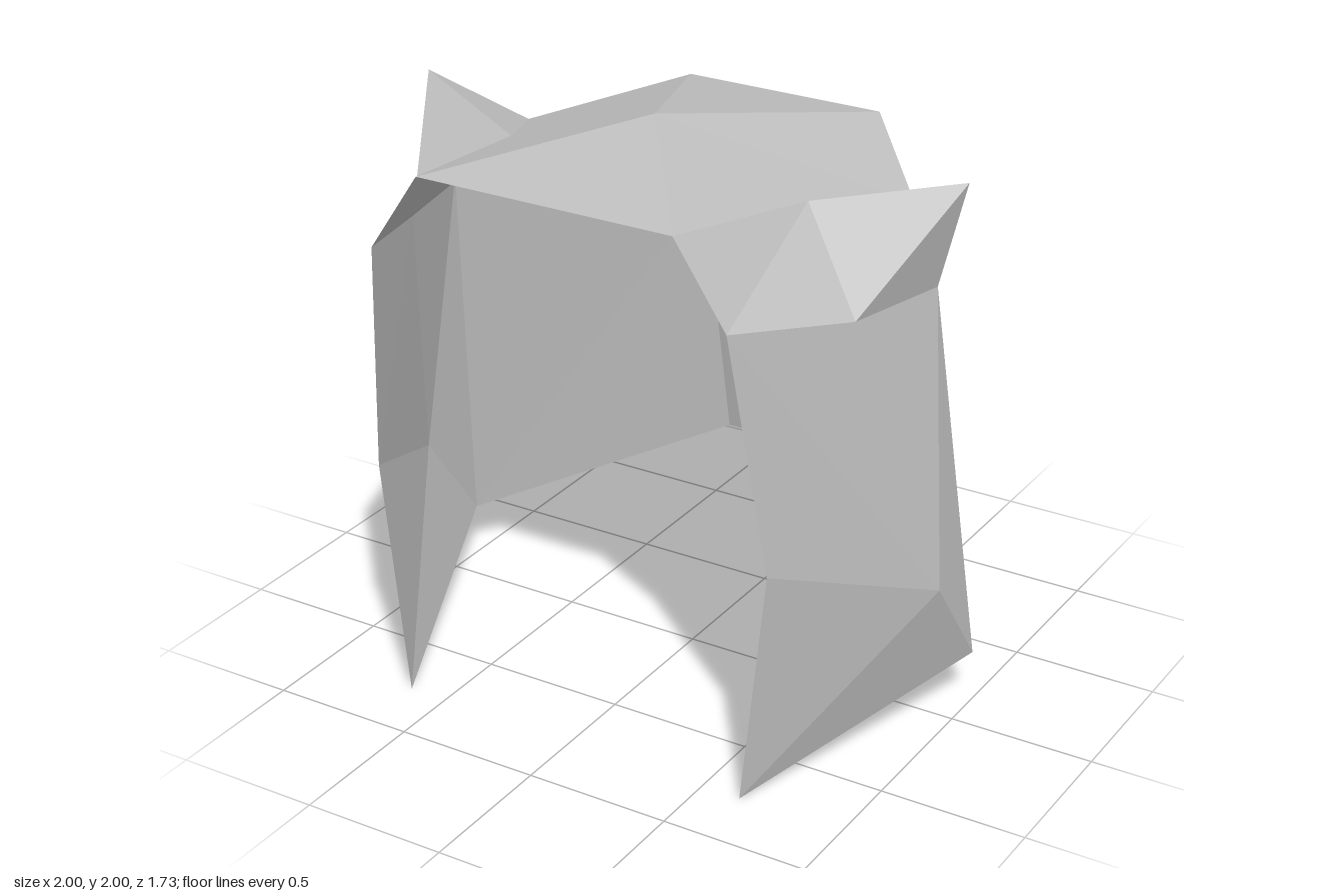
import * as THREE from 'three';

// Corner points of the model's left half (+x); the right half is mirrored.
const P = {
  apex: [0, 2, 0.23],
  browTop: [0.455, 1.91, 0.865],
  browLow: [0.637, 1.64, 0.865],
  earInner: [0.547, 1.82, 0.225],
  earTip: [1, 1.91, 0.045],
  earFront: [0.817, 1.55, 0.41],
  earBase: [0.908, 1.55, 0.045],
  earBack: [0.727, 1.73, -0.137],
  backTop: [0.363, 1.82, -0.59],
  backMid: [0.363, 1.36, -0.68],
  backLow: [0.363, 0.37, -0.865],
  sideLow: [1, 0.185, -0.137],
  sideMid: [1, 0.55, 0.135],
  cheekMid: [0.727, 0.82, 0.77],
  cheekLow: [0.637, 0, 0.77],
};

// '-name' is the mirrored point
const point = (name, side) => {
  const mirrored = name[0] === '-';
  const [x, y, z] = P[mirrored ? name.slice(1) : name];
  return [(mirrored ? -x : x) * side, y, z];
};

// Flat-faced panel made of convex polygons, each split into a triangle fan
function panel(name, material, polygons, side = 1) {
  const positions = [];
  for (const line of polygons) {
    const pts = line.split(' ').map((n) => point(n, side));
    if (side < 0) pts.reverse();
    for (let i = 1; i < pts.length - 1; i++) positions.push(...pts[0], ...pts[i], ...pts[i + 1]);
  }
  const geometry = new THREE.BufferGeometry();
  geometry.setAttribute('position', new THREE.Float32BufferAttribute(positions, 3));
  geometry.computeVertexNormals();
  const mesh = new THREE.Mesh(geometry, material);
  mesh.name = name;
  return mesh;
}

export function createModel() {
  const model = new THREE.Group();
  model.name = 'hood';
  const grey = new THREE.MeshStandardMaterial({
    color: 0xc0c0c0, side: THREE.DoubleSide, flatShading: true,
  });
  grey.name = 'light grey';

  // Centre panels: front and back of the crown, and the back wall
  model.add(panel('crownCentre', grey, ['apex -browTop browTop', 'apex backTop -backTop']));
  model.add(panel('backWall', grey, ['backTop backLow -backLow -backTop']));

  // Paired panels
  for (const [label, side] of [['left', 1], ['right', -1]]) {
    const half = new THREE.Group();
    half.name = label + 'Half';
    half.add(
      panel(label + 'Crown', grey, [
        'apex browTop earInner', 'apex earInner earBack', 'apex earBack backTop',
      ], side),
      panel(label + 'Brow', grey, ['browTop browLow earInner', 'browLow earFront earInner'], side),
      panel(label + 'Ear', grey, [
        'earInner earFront earTip', 'earInner earTip earBack',
        'earFront earBase earTip', 'earTip earBase earBack',
      ], side),
      panel(label + 'Cheek', grey, [
        'browLow cheekMid sideMid earFront', 'earFront sideMid earBase',
        'earBase sideMid sideLow', 'cheekMid cheekLow sideMid', 'cheekLow sideLow sideMid',
      ], side),
      panel(label + 'RearSide', grey, [
        'earBase sideLow earBack', 'earBack sideLow backMid',
        'earBack backMid backTop', 'sideLow backLow backMid',
      ], side),
    );
    model.add(half);
  }
  return model;
}
